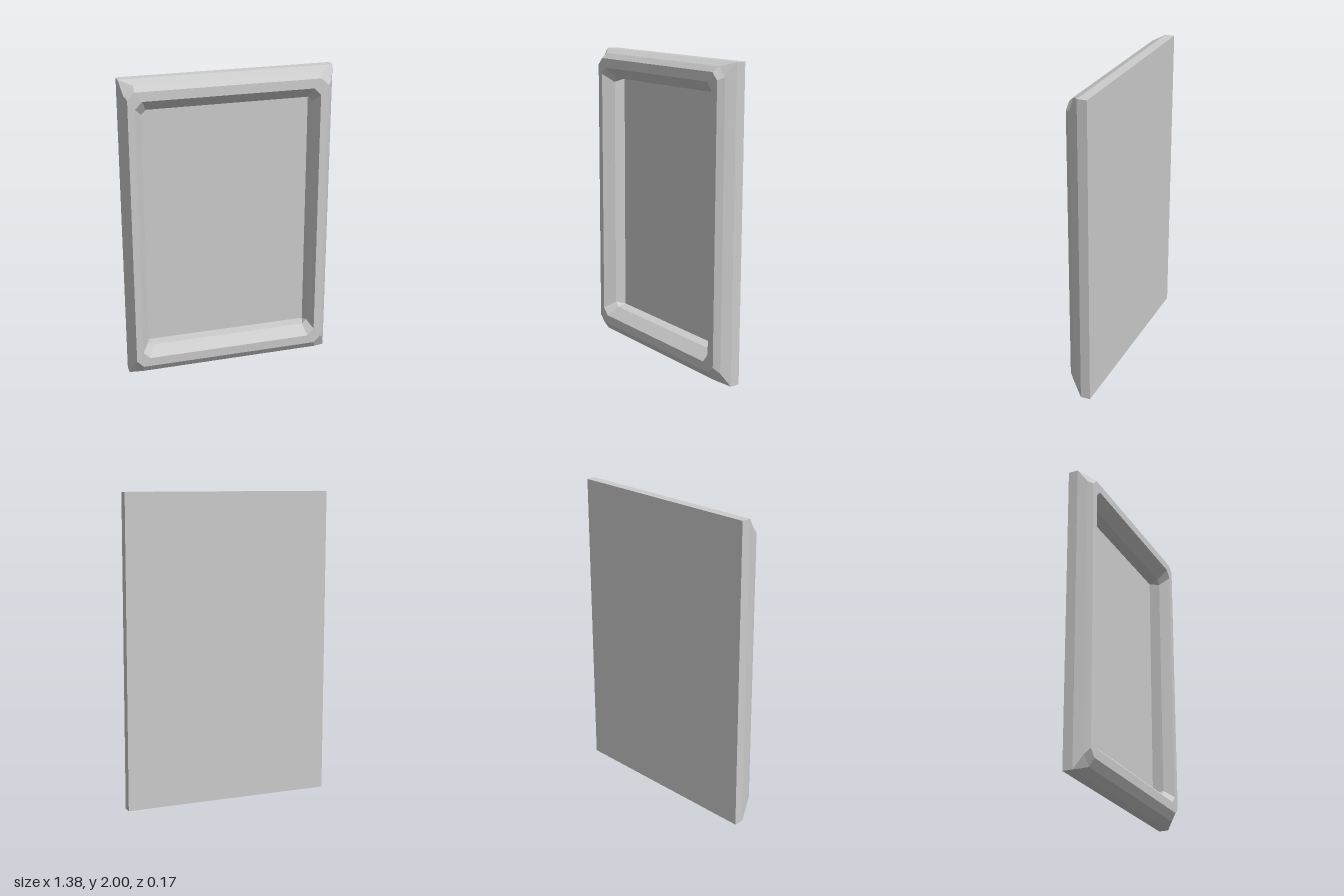
import * as THREE from 'three';

// Ring in the frame: left, right, bottom, top, depth, corner cut
const ring = ([l, r, b, t, z, c]) => [
  [r, b + c], [r, t - c], [r - c, t], [l + c, t],
  [l, t - c], [l, b + c], [l + c, b], [r - c, b],
].map(([x, y]) => new THREE.Vector3(x, y, z - (y - 1) * 0.005)); // leans back slightly

function flatGeometry(triangles) {
  const points = triangles
    .filter(([a, b, c]) => new THREE.Triangle(a, b, c).getArea() > 1e-7)
    .flat();
  const geometry = new THREE.BufferGeometry().setFromPoints(points);
  geometry.computeVertexNormals();
  return geometry;
}

// Skin between successive rings
function loft(rings) {
  const tris = [];
  for (let k = 0; k + 1 < rings.length; k++) {
    const a = rings[k], b = rings[k + 1];
    for (let i = 0; i < 8; i++) {
      const j = (i + 1) % 8;
      tris.push([a[i], a[j], b[j]], [a[i], b[j], b[i]]);
    }
  }
  return flatGeometry(tris);
}

// Flat face filling one ring
function cap(points, facesBack) {
  const tris = [];
  for (let i = 1; i < 7; i++) {
    tris.push(facesBack
      ? [points[0], points[i + 1], points[i]]
      : [points[0], points[i], points[i + 1]]);
  }
  return flatGeometry(tris);
}

export function createModel() {
  const group = new THREE.Group();
  const material = new THREE.MeshStandardMaterial({ color: 0xcccccc, flatShading: true });
  const add = (name, geometry) => {
    const mesh = new THREE.Mesh(geometry, material);
    mesh.name = name;
    group.add(mesh);
  };

  const rings = [
    [-0.69, 0.69, 0, 2, -0.08, 0],               // back edge
    [-0.69, 0.69, 0, 2, -0.017, 0],              // end of straight sides
    [-0.67, 0.66, 0.03, 1.973, 0.045, 0.06],     // outer bevel
    [-0.655, 0.63, 0.08, 1.94, 0.08, 0.045],     // front face, outer
    [-0.61, 0.58, 0.14, 1.88, 0.082, 0.045],     // front face, inner
    [-0.56, 0.55, 0.2, 1.81, 0.013, 0.03],       // inner slope
    [-0.55, 0.545, 0.205, 1.8, -0.06, 0],        // panel edge
  ].map(ring);

  add('frameSides', loft(rings.slice(0, 2)));
  add('frameOuterBevel', loft(rings.slice(1, 4)));
  add('frameFront', loft(rings.slice(3, 5)));
  add('frameInnerBevel', loft(rings.slice(4)));
  add('recessedPanel', cap(rings[6], false));
  add('backPanel', cap(rings[0], true));
  return group;
}
